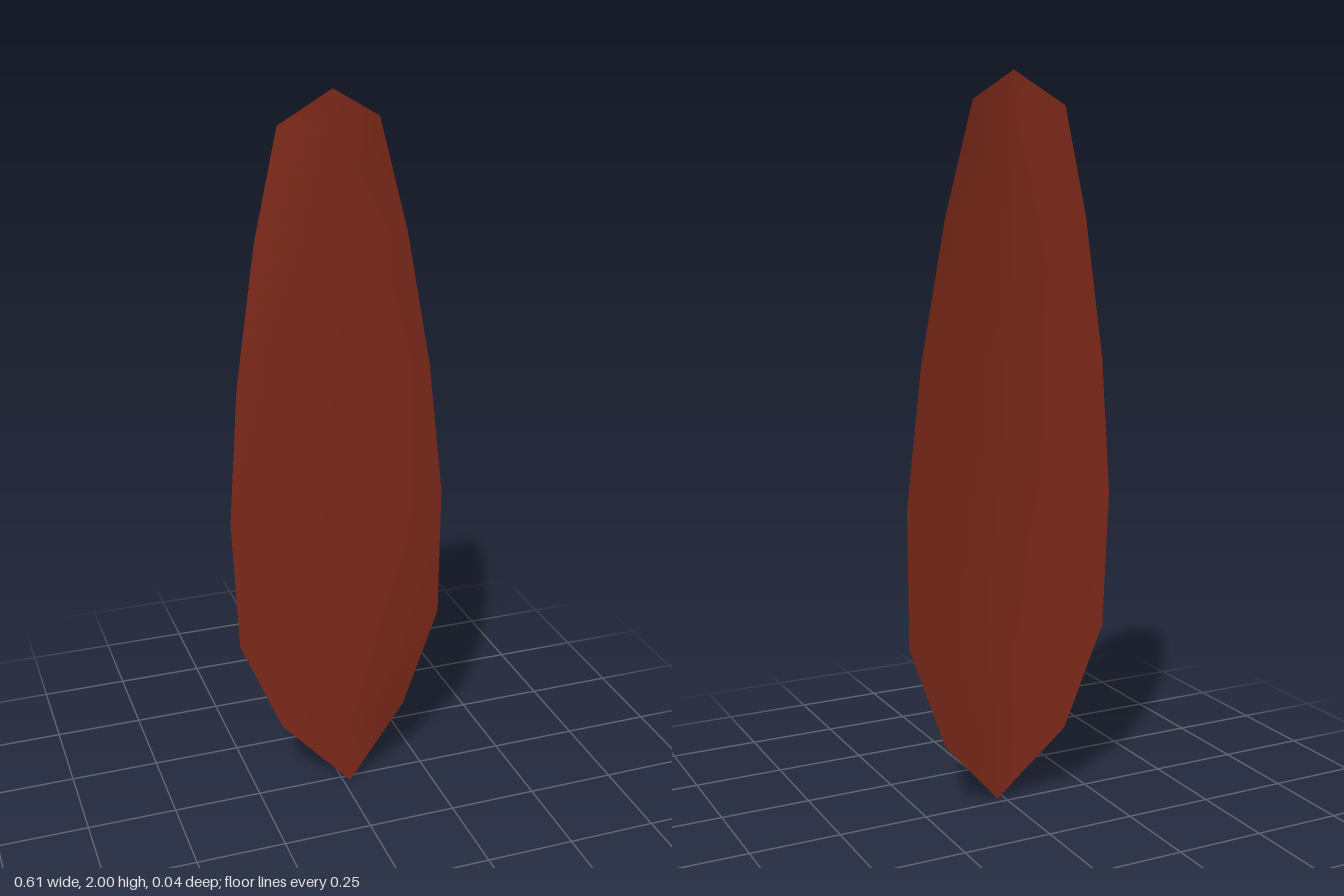
import * as THREE from 'three';

// Rows from base to tip: [right edge x, y, left edge x, y]
const ROWS = [
  [-0.17, 0.195, 0.2, 0.2],
  [-0.29, 0.48, 0.303, 0.49],
  [-0.307, 0.86, 0.305, 0.87],
  [-0.28, 1.24, 0.26, 1.25],
  [-0.225, 1.62, 0.19, 1.62],
  [-0.16, 1.91, 0.11, 1.92],
];
const Z = 0.022; // the midrib stands forward, the edges lie back

// Midrib leans slightly from base to tip
const midribX = (y) => 0.02 - 0.025 * y;

function bladeGeometry() {
  const positions = [midribX(0), 0, Z];
  for (const [rx, ry, lx, ly] of ROWS) {
    const y = (ry + ly) / 2;
    positions.push(rx, ry, -Z, midribX(y), y, Z, lx, ly, -Z);
  }
  positions.push(midribX(2), 2, Z);

  const tip = ROWS.length * 3 + 1;
  const index = [];
  // Base fan
  index.push(0, 2, 1, 0, 3, 2);
  // Two strips, one on each side of the midrib
  for (let r = 0; r < ROWS.length - 1; r++) {
    for (let side = 0; side < 2; side++) {
      const a = 1 + r * 3 + side;
      index.push(a, a + 1, a + 4, a, a + 4, a + 3);
    }
  }
  // Tip fan
  index.push(tip - 3, tip - 2, tip, tip - 2, tip - 1, tip);

  const geometry = new THREE.BufferGeometry();
  geometry.setAttribute('position', new THREE.Float32BufferAttribute(positions, 3));
  geometry.setIndex(index);
  geometry.computeVertexNormals();
  return geometry;
}

export function createModel() {
  const group = new THREE.Group();
  group.name = 'leaf';
  const material = new THREE.MeshStandardMaterial({ color: 0x7f2a1a, side: THREE.DoubleSide });
  const blade = new THREE.Mesh(bladeGeometry(), material);
  blade.name = 'leafBlade';
  group.add(blade);
  return group;
}
